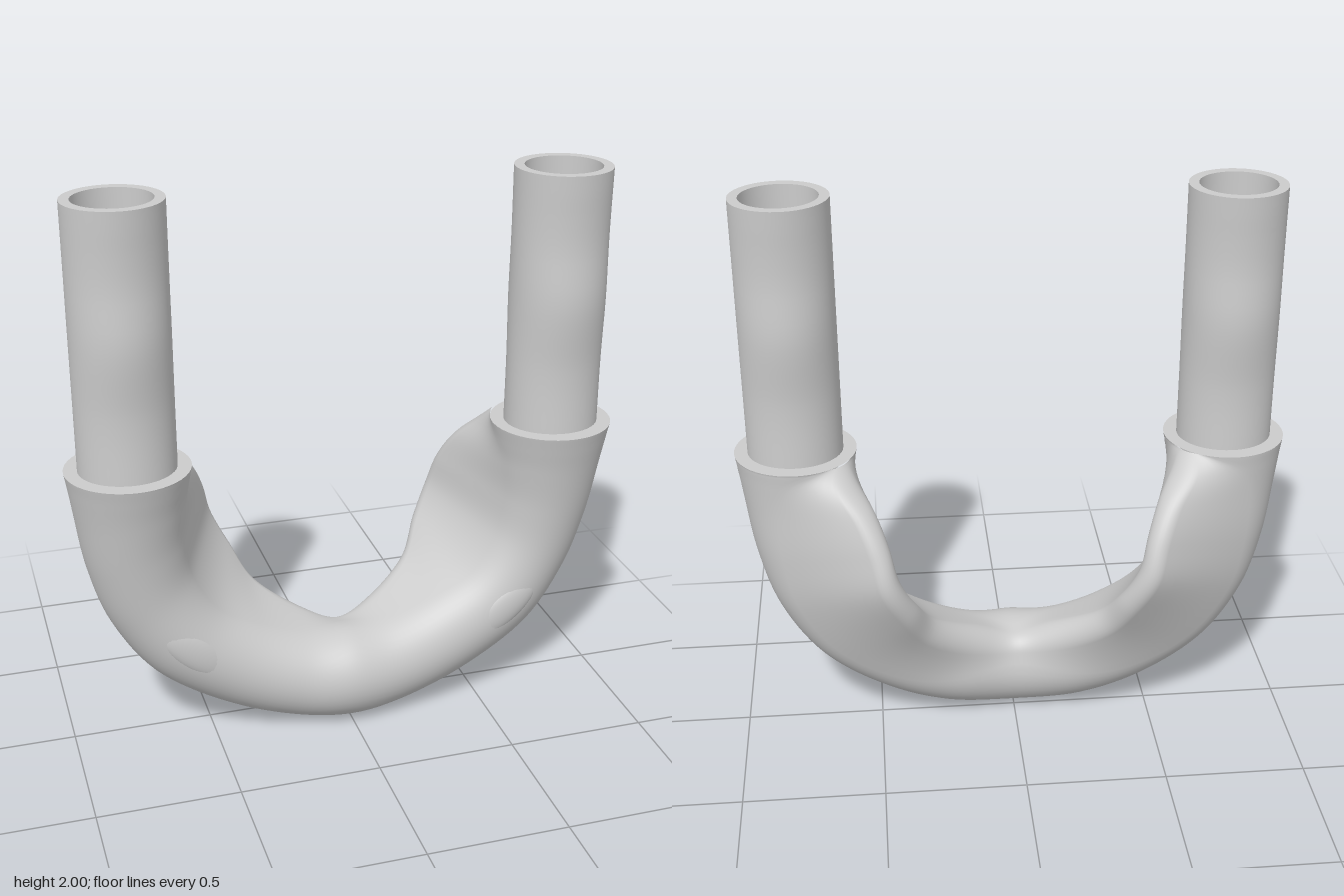
import * as THREE from 'three';
import { toCreasedNormals } from 'three/addons/utils/BufferGeometryUtils.js';

const mat = new THREE.MeshStandardMaterial({ color: 0xcccccc, roughness: 0.7 });

// Half of the bend: tube centre x,y,z, tube radius, ridge centre x,y,z, ridge radius
const STATIONS = [
  [0, 0.173, 0.085, 0.173, 0, 0.25, 0.01, 0.08],
  [0.2, 0.195, 0.06, 0.173, 0.16, 0.30, -0.03, 0.08],
  [0.4, 0.27, 0.045, 0.172, 0.32, 0.42, -0.13, 0.06],
  [0.585, 0.395, 0.042, 0.172, 0.40, 0.56, -0.22, 0.05],
  [0.70, 0.57, 0.04, 0.172, 0.465, 0.69, -0.253, 0.05],
  [0.747, 0.75, 0.052, 0.18, 0.50, 0.82, -0.222, 0.05],
  [0.762, 0.92, 0.07, 0.192, 0.55, 0.935, -0.16, 0.055],
  [0.765, 1.02, 0.08, 0.205, 0.62, 1.02, -0.08, 0.07],
  [0.765, 1.08, 0.085, 0.215, 0.66, 1.08, -0.01, 0.08],
];

function mesh(name, geo) {
  const m = new THREE.Mesh(geo, mat);
  m.name = name;
  return m;
}

// Closed outline around a big circle at the origin and a small one at (dn, dz)
function teardrop(r, rt, dn, dz) {
  const phi = Math.atan2(dz, dn);
  const D = Math.max(Math.hypot(dn, dz), (r - rt) * 1.04);
  const beta = Math.acos(Math.min(1, (r - rt) / D));
  const cx = D * Math.cos(phi), cz = D * Math.sin(phi);
  const pts = [];
  const small = (a) => [cx + rt * Math.cos(a), cz + rt * Math.sin(a)];
  const big = (a) => [r * Math.cos(a), r * Math.sin(a)];
  const line = (p, q) => {
    for (let k = 1; k < 5; k++) pts.push([0, 1].map((i) => p[i] + (q[i] - p[i]) * k / 5));
  };
  for (let k = 0; k <= 10; k++) pts.push(small(phi - beta + 2 * beta * k / 10));
  line(small(phi + beta), big(phi + beta));
  for (let k = 0; k <= 32; k++) pts.push(big(phi + beta + (2 * Math.PI - 2 * beta) * k / 32));
  line(big(phi - beta), small(phi - beta));
  return pts;
}

// U-shaped tube whose section grows a ridge toward the back on each side
function bendGeometry() {
  const mirrored = STATIONS.slice(1).reverse()
    .map((s) => s.map((v, i) => (i === 0 || i === 4 ? -v : v)));
  const all = [...mirrored, ...STATIONS];
  const curve = (f) => new THREE.CatmullRomCurve3(
    all.map((s) => new THREE.Vector3(...f(s))), false, 'catmullrom');
  const centre = curve((s) => [s[0], s[1], s[2]]);
  const ridge = curve((s) => [s[4], s[5], s[6]]);
  const radii = curve((s) => [s[3], s[7], 0]);

  const pos = [], idx = [], steps = 112;
  let n = 0;
  for (let i = 0; i <= steps; i++) {
    const t = i / steps;
    const c = centre.getPoint(t), f = ridge.getPoint(t), r = radii.getPoint(t);
    const d = f.sub(c);
    const dn = Math.hypot(d.x, d.y);
    const ring = teardrop(r.x, r.y, dn, d.z);
    n = ring.length;
    for (const [u, v] of ring) pos.push(c.x + u * d.x / dn, c.y + u * d.y / dn, c.z + v);
    if (i === steps) break;
    for (let j = 0; j < n; j++) {
      const a = i * n + j, b = i * n + (j + 1) % n;
      idx.push(a, b, b + n, a, b + n, a + n);
    }
  }
  const g = new THREE.BufferGeometry();
  g.setAttribute('position', new THREE.Float32BufferAttribute(pos, 3));
  g.setIndex(idx);
  g.computeVertexNormals();
  return g;
}

// Hollow upright, slightly waisted from front to back
function postGeometry() {
  const prof = [];
  for (let k = 0; k <= 32; k++) prof.push(new THREE.Vector2(0.168, 1.04 + 0.96 * k / 32));
  prof.push(new THREE.Vector2(0.133, 2), new THREE.Vector2(0.133, 0.85), new THREE.Vector2(0, 0.8));
  const g = new THREE.LatheGeometry(prof, 48);
  const waist = new THREE.CatmullRomCurve3(
    [[1.04, 0.158], [1.3, 0.152], [1.55, 0.173], [1.77, 0.161], [2, 0.171]]
      .map(([y, r]) => new THREE.Vector3(r, y, 0)));
  const table = waist.getPoints(100);
  const p = g.attributes.position;
  for (let i = 0; i < p.count; i++) {
    if (Math.hypot(p.getX(i), p.getZ(i)) < 0.15) continue;
    const near = table.find((q) => q.y >= p.getY(i) - 1e-4) || table[100];
    p.setZ(i, p.getZ(i) * near.x / 0.168);
  }
  return toCreasedNormals(g, 0.6);
}

export function createModel() {
  const group = new THREE.Group();
  group.add(mesh('bend', bendGeometry()));

  const post = postGeometry();
  const rim = new THREE.RingGeometry(0.14, 0.215, 48).rotateX(-Math.PI / 2);
  const pad = new THREE.SphereGeometry(1, 32, 16);
  for (const [side, s] of [['left', 1], ['right', -1]]) {
    const upright = mesh(side + 'Post', post);
    upright.position.set(s * 0.765, 0, 0.085);
    const collar = mesh(side + 'CollarRim', rim);
    collar.position.set(s * 0.765, 1.08, 0.085);
    // Shallow oval swelling on the front of the bend
    const oval = mesh(side + 'OvalPad', pad);
    oval.scale.set(0.16, 0.065, 0.03);
    oval.position.set(s * 0.58, 0.39, 0.189);
    oval.rotation.z = s * 0.73;
    group.add(upright, collar, oval);
  }
  return group;
}
